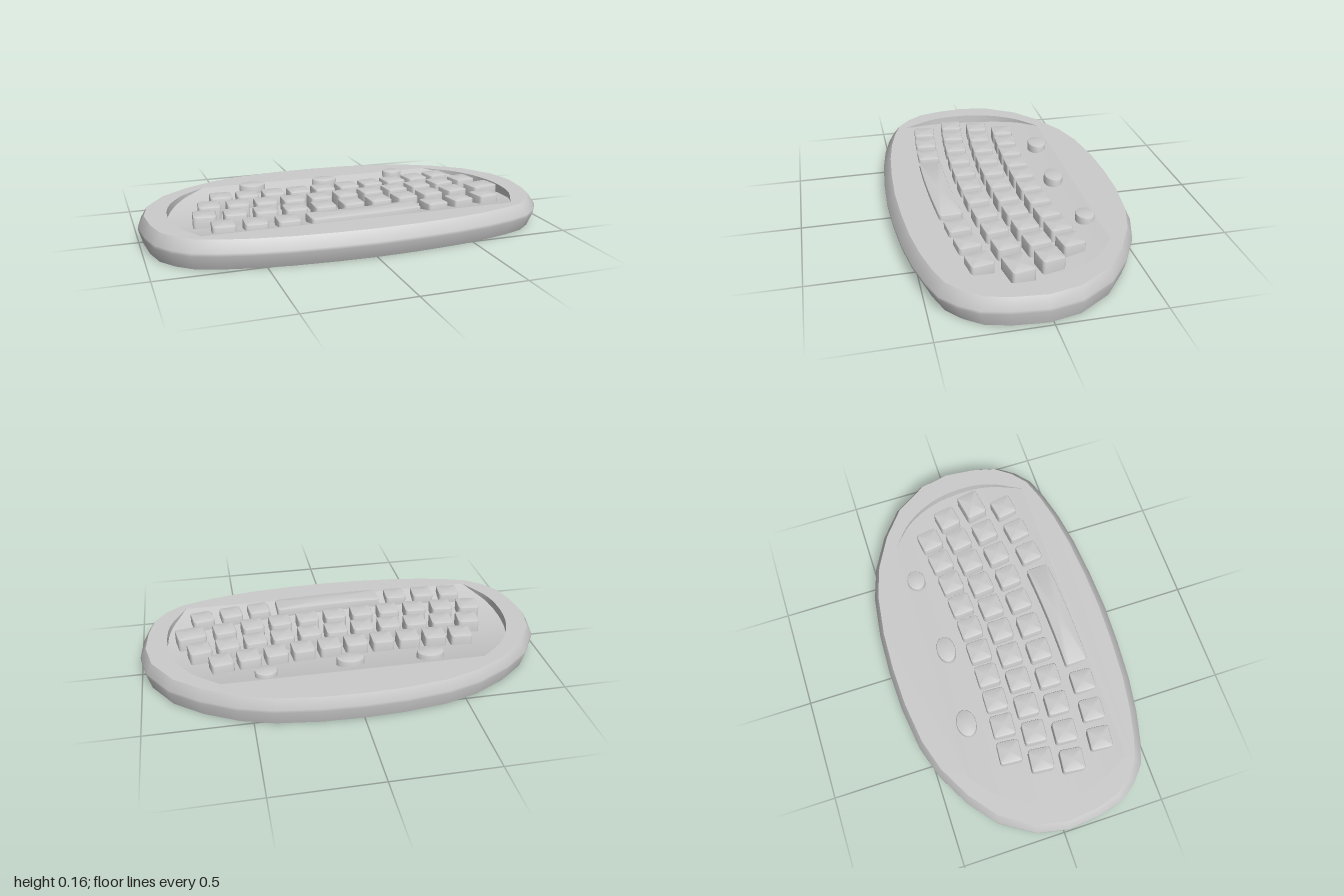
import * as THREE from 'three';
import { toCreasedNormals } from 'three/addons/utils/BufferGeometryUtils.js';

const material = new THREE.MeshStandardMaterial({ color: 0xcccccc, side: THREE.DoubleSide });
const TOP = 0.135, KEY_TOP = 0.155;
const Z0 = -0.36, Z1 = 0.385; // back and front ends of the scooped key bed

// Height of the key bed: a shallow scoop curved along z
function bedHeight(z) {
  const t = (z - (Z0 + Z1) / 2) / ((Z1 - Z0) / 2);
  return TOP - 0.045 * Math.max(0, 1 - t * t);
}

// Skin over rows of [x, y, z] points
function loft(rows, closed, crease = 0.6) {
  const n = rows[0].length, index = [];
  for (let i = 0; i < rows.length - 1; i++) {
    for (let j = 0; j < (closed ? n : n - 1); j++) {
      const k = (j + 1) % n;
      const a = i * n + j, b = i * n + k, c = a + n, d = b + n;
      index.push(a, c, b, b, c, d);
    }
  }
  const g = new THREE.BufferGeometry();
  g.setAttribute('position', new THREE.Float32BufferAttribute(rows.flat(2), 3));
  g.setIndex(index);
  g.computeVertexNormals();
  return toCreasedNormals(g, crease);
}

function add(parent, name, geometry) {
  const mesh = new THREE.Mesh(geometry, material);
  mesh.name = name;
  parent.add(mesh);
  return mesh;
}

// Half outline of the case from front centre to back centre, as [x, z]
const half = [
  [0, 0.575], [0.2, 0.568], [0.4, 0.552], [0.57, 0.525], [0.71, 0.49], [0.82, 0.45],
  [0.895, 0.385], [0.955, 0.3], [0.985, 0.18], [1, 0.02], [0.97, -0.13], [0.87, -0.29],
  [0.735, -0.4], [0.57, -0.49], [0.41, -0.54], [0.2, -0.568], [0, -0.575],
];
// Full loop running from +x towards +z
const outline = [
  ...half.slice(1, -1).map(([x, z]) => [-x, z]),
  half[16],
  ...half.slice(1, -1).reverse(),
  half[0],
];
const ring = (y, sx, front, back) =>
  outline.map(([x, z]) => [x * sx, y, z * (z > 0 ? front : back)]);

// Curved side edge of the key bed
const sidePoints = new THREE.CatmullRomCurve3([
  [0.63, Z0], [0.755, -0.25], [0.835, -0.11], [0.865, 0.04], [0.85, 0.21], [0.765, Z1],
].map(([x, z]) => new THREE.Vector3(x, 0, z))).getPoints(24);

function addCase(group) {
  const rim = ring(TOP, 0.97, 0.93, 0.96);
  add(group, 'caseWall', loft([
    ring(0, 0.98, 0.94, 0.965), ring(0.07, 1, 1, 1), ring(0.085, 1, 1, 1), rim,
  ], true, 1.2));

  // Flat top around the bed
  const flat = new THREE.Shape(rim.map(([x, , z]) => new THREE.Vector2(x, -z)));
  flat.holes.push(new THREE.Path([
    ...sidePoints.map((p) => new THREE.Vector2(p.x, -p.z)),
    ...[...sidePoints].reverse().map((p) => new THREE.Vector2(-p.x, -p.z)),
  ]));
  add(group, 'caseTop', new THREE.ShapeGeometry(flat).rotateX(-Math.PI / 2).translate(0, TOP, 0));

  // Scooped bed and its crescent-shaped side walls
  add(group, 'keyBed', loft(sidePoints.map((p) =>
    [-1, -0.5, 0, 0.5, 1].map((s) => [s * p.x, bedHeight(p.z), p.z])), false));
  for (const s of [-1, 1]) {
    const pts = s > 0 ? [...sidePoints].reverse() : sidePoints;
    add(group, s > 0 ? 'leftBedWall' : 'rightBedWall', loft([
      pts.map((p) => [s * p.x, bedHeight(p.z), p.z]),
      pts.map((p) => [s * p.x, TOP, p.z]),
    ], false));
  }
}

// Rounded rectangle loop; long edges are divided so they can bend
function roundedRect(w, d, r, inset) {
  const pts = [], corners = [[1, 1], [-1, 1], [-1, -1], [1, -1]];
  corners.forEach(([sx, sz], c) => {
    for (let i = 0; i <= 3; i++) {
      const a = (c + i / 3) * Math.PI / 2;
      pts.push([sx * (w / 2 - r) + Math.cos(a) * (r - inset), sz * (d / 2 - r) + Math.sin(a) * (r - inset)]);
    }
    if (c % 2 === 0) {
      for (let i = 1; i < 6; i++) pts.push([sx * (w / 2 - r) * (1 - i / 3), sz * (d / 2 - inset)]);
    }
  });
  return pts;
}

const ellipse = (rx, rz, inset) => Array.from({ length: 24 }, (_, i) => {
  const a = i / 24 * Math.PI * 2;
  return [Math.cos(a) * (rx - inset), Math.sin(a) * (rz - inset)];
});

// Hollow cap, open below, with a softened top edge
function capGeometry(loop, bottom, bend = 0) {
  const row = (y, inset) => loop(inset).map(([x, z]) => [x, y, z - bend * x * x]);
  const top = row(KEY_TOP, 0.007);
  return loft([
    row(bottom, 0), row(KEY_TOP - 0.006, 0), row(KEY_TOP - 0.002, 0.002), top,
    top.map(() => [0, KEY_TOP, 0]),
  ], true, 0.7);
}

// Key placed on a bowed row
const BOW = 0.1, SKEW = -0.03;
function addKey(group, name, x, rowZ, w = 0.108, d = 0.108) {
  const z = rowZ + SKEW * x - BOW * x * x;
  const key = add(group, name, capGeometry(
    (inset) => roundedRect(w, d, 0.014, inset), bedHeight(z) - 0.017, BOW));
  key.position.set(x, 0, z);
  key.rotation.y = -SKEW + 2 * BOW * x;
}

export function createModel() {
  const model = new THREE.Group();
  model.name = 'keyboard';
  addCase(model);

  const keys = new THREE.Group();
  keys.name = 'keys';
  model.add(keys);
  // Three evenly spaced rows: first x, pitch, count, z at the middle
  const rows = [[-0.577, 0.1325, 10, -0.121], [-0.658, 0.137, 11, 0.018], [-0.706, 0.143, 10, 0.163]];
  for (const [x, pitch, count, z] of rows) {
    for (let i = 0; i < count; i++) addKey(keys, 'key', x + i * pitch, z);
  }
  addKey(keys, 'wideKey', 0.749, 0.173, 0.142);
  // Bottom row with the space bar
  for (const x of [-0.647, -0.503, -0.353, 0.39, 0.535, 0.684]) addKey(keys, 'key', x, 0.318);
  addKey(keys, 'spaceBar', 0.019, 0.32, 0.55, 0.112);

  // Oval buttons behind the keys
  for (const [x, z, rx, rz] of [[-0.38, -0.29, 0.067, 0.048], [0.01, -0.273, 0.067, 0.046], [0.417, -0.31, 0.053, 0.045]]) {
    const button = add(model, 'ovalButton', capGeometry((inset) => ellipse(rx, rz, inset), bedHeight(z) - 0.025));
    button.position.set(x, 0, z);
  }
  return model;
}
